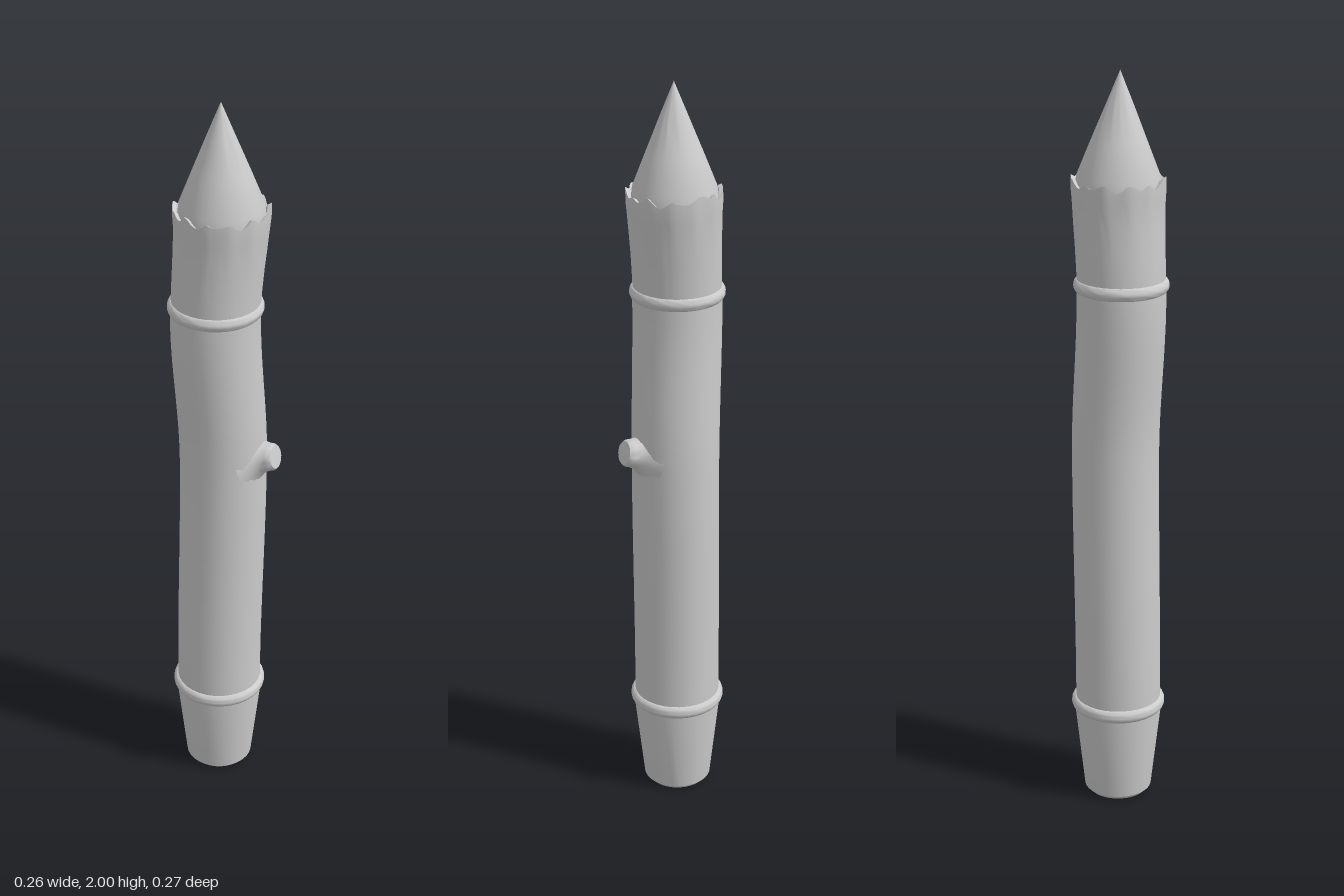
import * as THREE from 'three';
import { toCreasedNormals } from 'three/addons/utils/BufferGeometryUtils.js';

const { smoothstep, lerp } = THREE.MathUtils;
const material = new THREE.MeshStandardMaterial({ color: 0xcccccc, side: THREE.DoubleSide });

// Centre line of the slightly crooked stick: [y, x, z]
const SPINE = [[0, 0, -0.01], [0.3, 0, -0.009], [1.0, 0.011, -0.006],
  [1.42, -0.011, -0.008], [1.72, 0.004, -0.003], [2, 0, 0]];

function centre(y) {
  let i = 0;
  while (i < SPINE.length - 2 && y > SPINE[i + 1][0]) i++;
  const [a, b] = [SPINE[i], SPINE[i + 1]];
  const t = smoothstep(y, a[0], b[0]);
  return [lerp(a[1], b[1], t), lerp(a[2], b[2], t)];
}

// Turned shape following the centre line; shape(p) may carve it first
function turned(name, profile, { sides = 32, crease = 0.6, shape } = {}) {
  const geo = new THREE.LatheGeometry(profile.map(([r, y]) => new THREE.Vector2(r, y)), sides);
  const pos = geo.attributes.position;
  const p = new THREE.Vector3();
  for (let i = 0; i < pos.count; i++) {
    p.fromBufferAttribute(pos, i);
    if (shape) shape(p);
    const [cx, cz] = centre(p.y);
    pos.setXYZ(i, p.x + cx, p.y, p.z + cz);
  }
  const mesh = new THREE.Mesh(toCreasedNormals(geo, crease), material);
  mesh.name = name;
  return mesh;
}

// Uneven teeth, depth 0..1 around the bark's cut edge
function tooth(a) {
  const wave = (n, s) => Math.abs(Math.sin(n * a / 2 + s));
  return 0.6 * wave(13, 0.4) + 0.4 * wave(8, 1.1);
}

// Jagged edge, shallow grooves below it and one raised splinter
function carveBark(p) {
  const a = Math.atan2(p.z, p.x);
  const d = tooth(a);
  const near = smoothstep(p.y, 1.55, 1.73);
  const splinter = Math.max(0, 1 - Math.abs(a + 0.75) / 0.22);
  const k = 1 + near * (0.02 - 0.04 * d);
  p.x *= k;
  p.z *= k;
  p.y += smoothstep(p.y, 1.67, 1.735) * (0.03 * splinter - 0.028 * d);
}

export function createModel() {
  const group = new THREE.Group();
  group.name = 'sharpenedStick';

  // Tapered foot with a small bevel
  group.add(turned('foot', [[0, 0], [0.08, 0], [0.092, 0.012], [0.119, 0.255], [0.119, 0.27]]));

  // Long bark shaft
  const shaft = [];
  for (let i = 0; i <= 24; i++) shaft.push([0.116, lerp(0.265, 1.455, i / 24)]);
  group.add(turned('shaft', shaft));

  // Upper bark sleeve, flaring to a jagged lip that turns inward
  group.add(turned('barkSleeve', [[0.114, 1.45], [0.115, 1.5], [0.116, 1.56], [0.118, 1.62],
    [0.12, 1.67], [0.122, 1.7], [0.122, 1.74], [0.112, 1.735], [0.106, 1.68]],
  { sides: 72, shape: carveBark }));

  // Raised bands
  for (const [name, y, r] of [['lowerBand', 0.27, 0.114], ['upperBand', 1.455, 0.11]]) {
    const ring = [];
    for (let i = 0; i <= 10; i++) {
      const a = lerp(-Math.PI / 2, Math.PI / 2, i / 10);
      ring.push([r + 0.014 * Math.cos(a), y + 0.018 * Math.sin(a)]);
    }
    group.add(turned(name, ring));
  }

  // Sharpened point
  group.add(turned('point', [[0.111, 1.7], [0.107, 1.735], [0.072, 1.823], [0.036, 1.912], [0, 2]]));

  // Cut branch stub, flaring into the shaft
  const stubProfile = [[0.085, 0.082], [0.066, 0.098], [0.05, 0.112], [0.041, 0.126], [0.037, 0.14],
    [0.036, 0.15], [0.031, 0.157], [0, 0.158]].map(([r, y]) => new THREE.Vector2(r, y));
  const stub = new THREE.Mesh(toCreasedNormals(new THREE.LatheGeometry(stubProfile, 20), 0.9), material);
  stub.name = 'branchStub';
  const [cx, cz] = centre(1.0);
  stub.position.set(cx, 1.005, cz);
  stub.quaternion.setFromUnitVectors(new THREE.Vector3(0, 1, 0),
    new THREE.Vector3(0.6, 0.24, 0.8).normalize());
  group.add(stub);

  return group;
}
